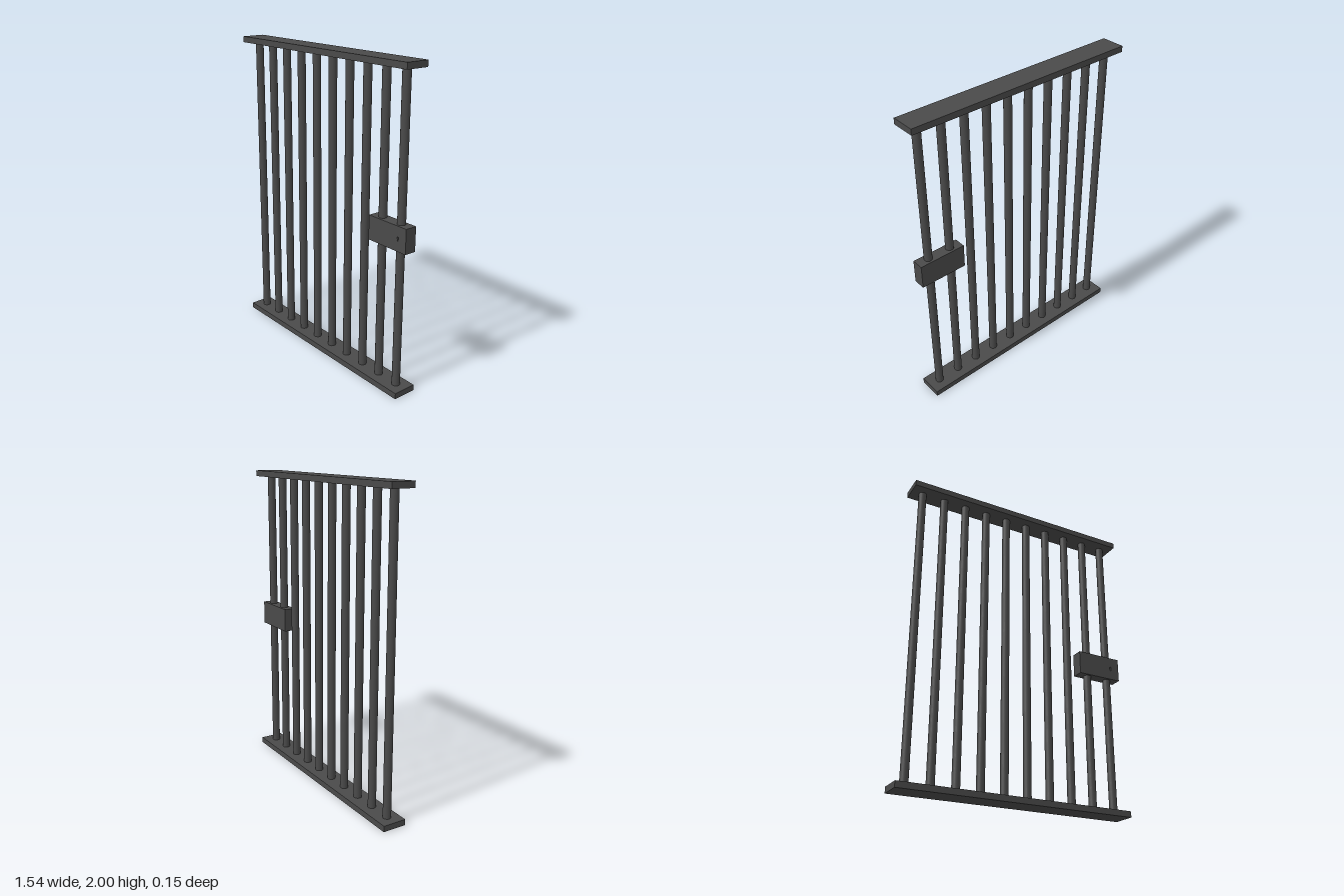
import * as THREE from 'three';

export function createModel() {
  const model = new THREE.Group();
  model.name = 'barredGate';
  const iron = new THREE.MeshStandardMaterial({ color: 0x4a4a4a });

  function add(parent, name, geometry, x, y, z) {
    const mesh = new THREE.Mesh(geometry, iron);
    mesh.name = name;
    mesh.position.set(x, y, z);
    parent.add(mesh);
    return mesh;
  }

  // Flat rails at the floor and the top
  const height = 2, width = 1.54, railH = 0.038, railD = 0.154;
  const rail = new THREE.BoxGeometry(width, railH, railD);
  add(model, 'bottomRail', rail, 0, railH / 2, 0);
  add(model, 'topRail', rail, 0, height - railH / 2, 0);

  // Ten evenly spaced round bars
  const bars = new THREE.Group();
  bars.name = 'bars';
  model.add(bars);
  const count = 10, spacing = width / count;
  const bar = new THREE.CylinderGeometry(0.0255, 0.0255, height - 2 * railH, 24, 1, true);
  for (let i = 0; i < count; i++) {
    add(bars, `bar${i + 1}`, bar, (i - (count - 1) / 2) * spacing, height / 2, 0);
  }

  // Lock box: a solid back and a front plate pierced by a keyhole
  const lock = new THREE.Group();
  lock.name = 'lock';
  lock.position.set(0.616, 1.002, 0);
  model.add(lock);
  const w = 0.308, h = 0.154, d = 0.077, plateD = 0.02;
  add(lock, 'lockBody', new THREE.BoxGeometry(w, h, d - plateD), 0, 0, -plateD / 2);

  const plate = new THREE.Shape();
  plate.moveTo(-w / 2, -h / 2);
  plate.lineTo(w / 2, -h / 2);
  plate.lineTo(w / 2, h / 2);
  plate.lineTo(-w / 2, h / 2);
  plate.closePath();

  // Keyhole: round eye above a narrow slot
  const kx = 0.09, r = 0.007, slot = 0.0035;
  const a = Math.asin(slot / r);
  const keyhole = new THREE.Path();
  keyhole.moveTo(kx - slot, -0.014);
  keyhole.lineTo(kx + slot, -0.014);
  keyhole.absarc(kx, 0.005, r, -Math.PI / 2 + a, Math.PI * 1.5 - a, false);
  keyhole.closePath();
  plate.holes.push(keyhole);
  const plateGeometry = new THREE.ExtrudeGeometry(plate, { depth: plateD, bevelEnabled: false, curveSegments: 12 });
  add(lock, 'lockPlate', plateGeometry, 0, 0, d / 2 - plateD);

  return model;
}
